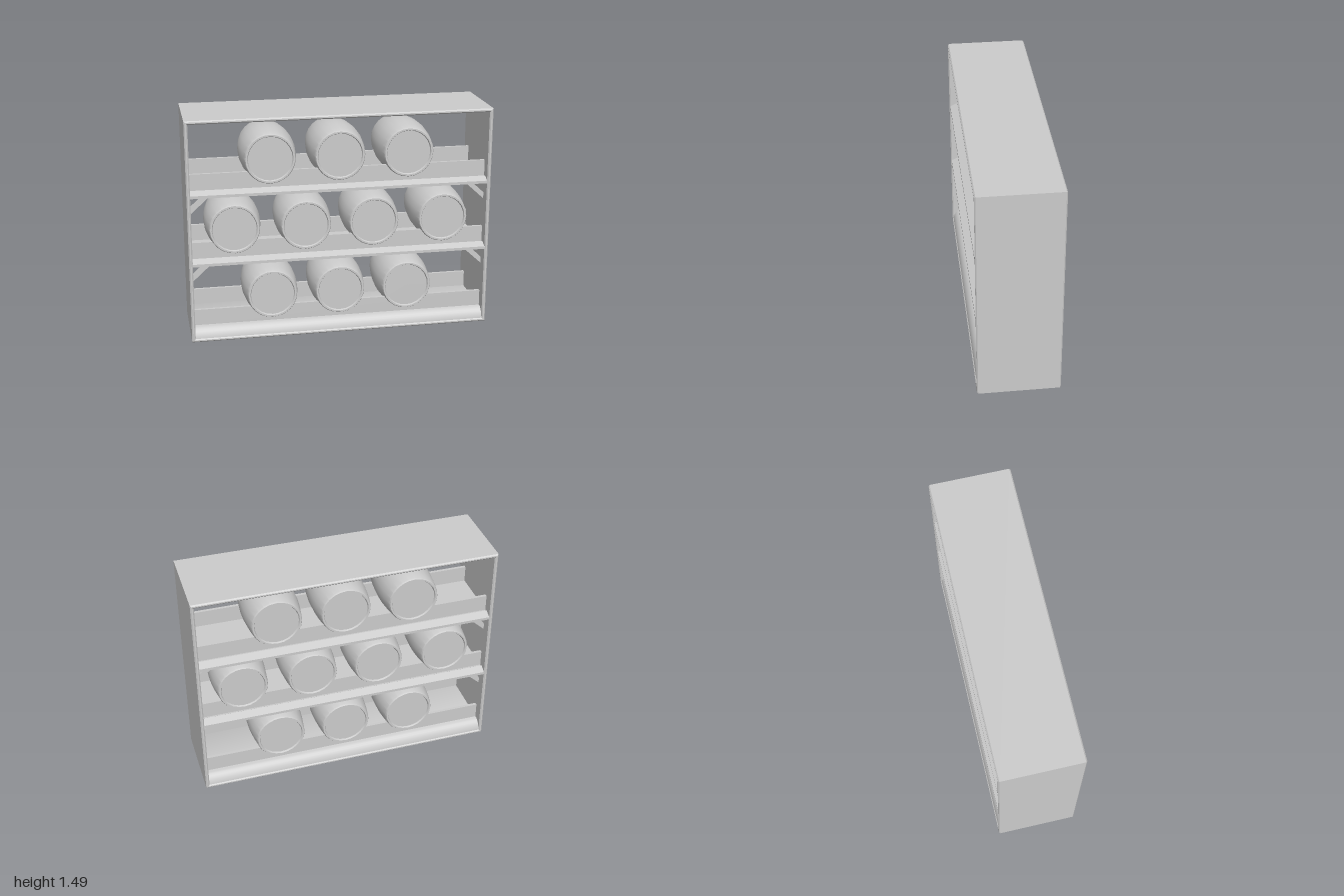
import * as THREE from 'three';
import { toCreasedNormals } from 'three/addons/utils/BufferGeometryUtils.js';

const material = new THREE.MeshStandardMaterial({ color: 0xcccccc });

function add(parent, name, geometry, x = 0, y = 0, z = 0) {
  const mesh = new THREE.Mesh(geometry, material);
  mesh.name = name;
  mesh.position.set(x, y, z);
  parent.add(mesh);
  return mesh;
}

// Closed rectangle outline, usable as shape or hole
function rectangle(path, x0, y0, x1, y1) {
  path.moveTo(x0, y0);
  path.lineTo(x1, y0);
  path.lineTo(x1, y1);
  path.lineTo(x0, y1);
  path.closePath();
  return path;
}

// Extrudes a depth/height section along the width of the rack
function alongWidth(shape, width) {
  const geometry = new THREE.ExtrudeGeometry(shape, { depth: width, bevelEnabled: false, curveSegments: 6 });
  geometry.translate(0, 0, -width / 2).rotateY(Math.PI / 2);
  return toCreasedNormals(geometry, 0.5);
}

export function createModel() {
  const rack = new THREE.Group();
  rack.name = 'barrelRack';

  // Outer case, open at front and back with chamfered edges
  const outline = rectangle(new THREE.Shape(), -1, 0, 1, 1.49);
  outline.holes.push(rectangle(new THREE.Path(), -0.976, 0.024, 0.976, 1.466));
  const bevel = 0.008;
  const caseGeometry = new THREE.ExtrudeGeometry(outline, {
    depth: 0.54 - 2 * bevel, bevelEnabled: true, bevelSegments: 1,
    bevelSize: bevel, bevelThickness: bevel, bevelOffset: -bevel,
  });
  add(rack, 'case', caseGeometry.translate(0, 0, -0.27 + bevel));

  // Plinth with rounded front and back
  const plinth = new THREE.Shape();
  plinth.moveTo(-0.264, 0.004);
  plinth.lineTo(0.264, 0.004);
  plinth.lineTo(0.264, 0.02);
  plinth.quadraticCurveTo(0.255, 0.075, 0.215, 0.092);
  plinth.lineTo(-0.215, 0.092);
  plinth.quadraticCurveTo(-0.255, 0.075, -0.264, 0.02);
  add(rack, 'plinth', alongWidth(plinth, 1.97));

  // Shelves with a sloping lip at front and back
  function shelfSection() {
    const shape = new THREE.Shape();
    shape.moveTo(-0.265, 0);
    for (const [z, y] of [[0.265, 0], [0.265, 0.018], [0.215, 0.04], [0.205, 0.032],
      [-0.205, 0.032], [-0.215, 0.04], [-0.265, 0.018]]) shape.lineTo(z, y);
    return shape;
  }
  const shelfGeometry = alongWidth(shelfSection(), 1.97);
  const shelfHeights = [0.525, 0.985];

  // Diagonal brace under each shelf end
  const braceGeometry = new THREE.ExtrudeGeometry((() => {
    const shape = new THREE.Shape();
    shape.moveTo(0.978, -0.127);
    shape.lineTo(0.978, -0.085);
    shape.lineTo(0.882, 0.004);
    shape.lineTo(0.835, 0.004);
    return shape;
  })(), { depth: 0.03, bevelEnabled: false });
  braceGeometry.translate(0, 0, -0.015);

  for (const y of shelfHeights) {
    add(rack, 'shelf', shelfGeometry, 0, y);
    for (const turn of [0, Math.PI]) {
      for (const z of [-0.18, 0.18]) {
        add(rack, 'brace', braceGeometry, 0, y, z).rotation.y = turn;
      }
    }
  }

  // Barrel: bulging staves, flat rim and recessed heads
  const half = [[0.185, 0], [0.184, 0.05], [0.18, 0.1], [0.174, 0.15], [0.165, 0.205],
    [0.16, 0.214], [0.149, 0.214], [0.144, 0.203], [0, 0.203]];
  const profile = [
    ...half.slice(1).reverse().map(([r, y]) => new THREE.Vector2(r, -y)),
    ...half.map(([r, y]) => new THREE.Vector2(r, y)),
  ];
  const barrelGeometry = toCreasedNormals(new THREE.LatheGeometry(profile, 24).rotateX(Math.PI / 2), 0.4);

  // Each level: retaining rails front and back, and its row of barrels
  const railGeometry = new THREE.BoxGeometry(1.956, 0.115, 0.02);
  const three = [-0.455, 0, 0.455];
  const four = [-0.695, -0.227, 0.227, 0.695];
  const levels = [
    { floor: 0.09, barrels: three },
    { floor: 0.557, barrels: four },
    { floor: 1.017, barrels: three },
  ];
  for (const { floor, barrels } of levels) {
    const level = new THREE.Group();
    level.name = 'level';
    level.position.y = floor;
    for (const z of [-0.185, 0.185]) add(level, 'rail', railGeometry, 0, 0.052, z);
    for (const x of barrels) add(level, 'barrel', barrelGeometry, x, 0.191);
    rack.add(level);
  }
  return rack;
}
